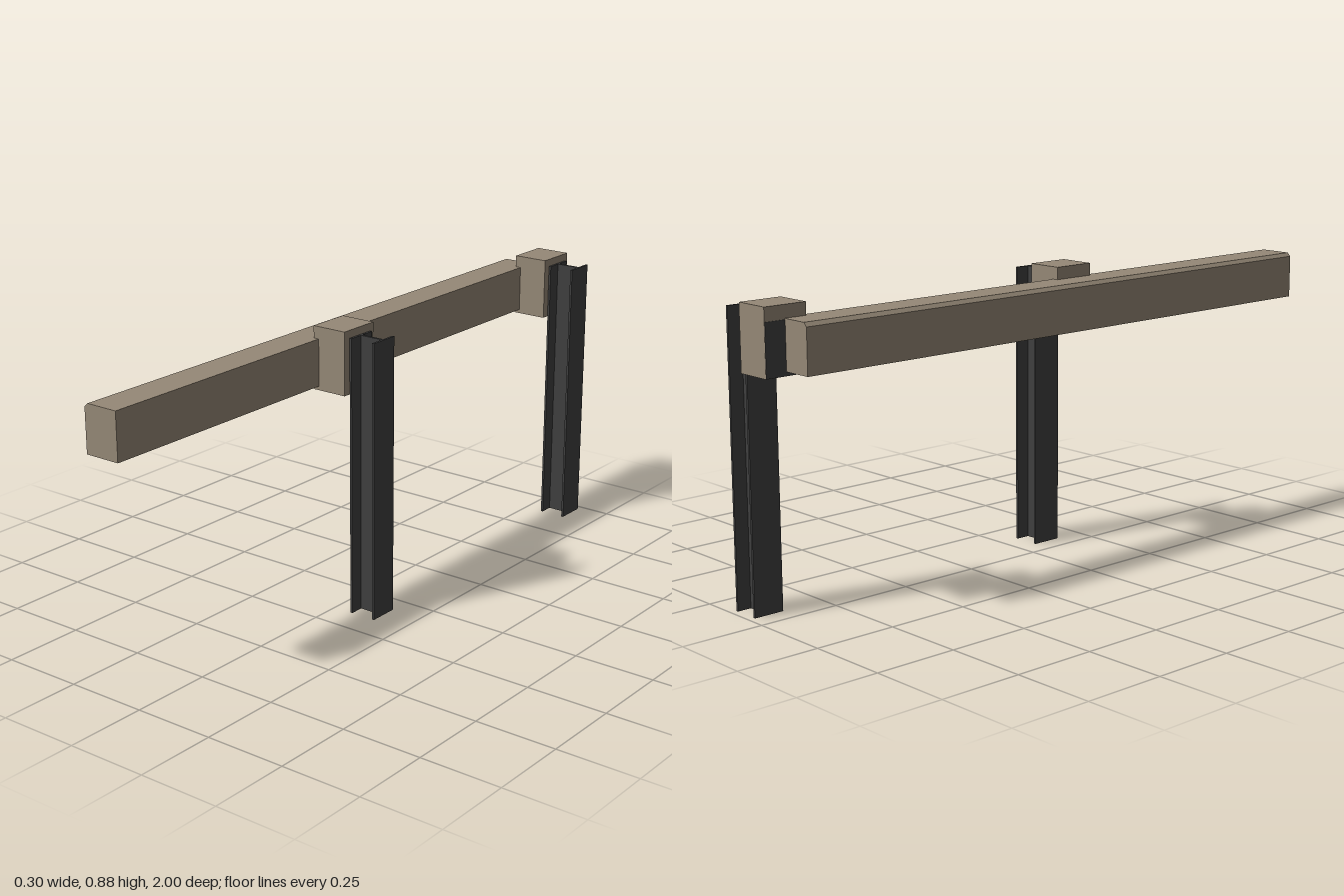
import * as THREE from 'three';

export function createModel() {
  const model = new THREE.Group();
  model.name = 'guardRail';
  const wood = new THREE.MeshStandardMaterial({ color: 0x968977 });
  wood.name = 'weathered timber';
  const steel = new THREE.MeshStandardMaterial({ color: 0x404040 });
  steel.name = 'dark steel';

  const polygon = (pts) => new THREE.Shape(pts.map(([x, y]) => new THREE.Vector2(x, y)));
  const add = (parent, name, geometry, material, x = 0, y = 0, z = 0) => {
    const mesh = new THREE.Mesh(geometry, material);
    mesh.name = name;
    mesh.position.set(x, y, z);
    parent.add(mesh);
    return mesh;
  };

  // Long timber rail with one chamfered top edge
  const railProfile = polygon([
    [-0.149, 0.696], [-0.037, 0.696], [-0.037, 0.838], [-0.138, 0.838], [-0.149, 0.827],
  ]);
  add(model, 'rail', new THREE.ExtrudeGeometry(railProfile, { depth: 1.935, bevelEnabled: false }), wood, 0, 0, -0.935);

  // I-section of the posts, extruded upward
  const x0 = 0.06, x1 = 0.148, t = 0.007, half = 0.047, web = 0.004;
  const section = polygon([
    [x0, -half], [x0 + t, -half], [x0 + t, -web], [x1 - t, -web], [x1 - t, -half], [x1, -half],
    [x1, half], [x1 - t, half], [x1 - t, web], [x0 + t, web], [x0 + t, half], [x0, half],
  ]);
  const postGeometry = new THREE.ExtrudeGeometry(section, { depth: 0.853, bevelEnabled: false });
  postGeometry.rotateX(-Math.PI / 2);

  // Post, spacer block, backing plate and bolt at each support
  for (const z of [0.113, -0.933]) {
    const support = new THREE.Group();
    support.name = 'support';
    support.position.z = z;
    model.add(support);
    add(support, 'post', postGeometry, steel);
    add(support, 'spacerBlock', new THREE.BoxGeometry(0.112, 0.191, 0.134), wood, 0.001, 0.7795);
    add(support, 'backingPlate', new THREE.BoxGeometry(0.002, 0.15, 0.133), steel, -0.0555, 0.76);
    const bolt = add(support, 'bolt', new THREE.CylinderGeometry(0.008, 0.008, 0.13, 8), steel, -0.005, 0.79, 0.025);
    bolt.rotation.z = Math.PI / 2;
  }
  return model;
}
